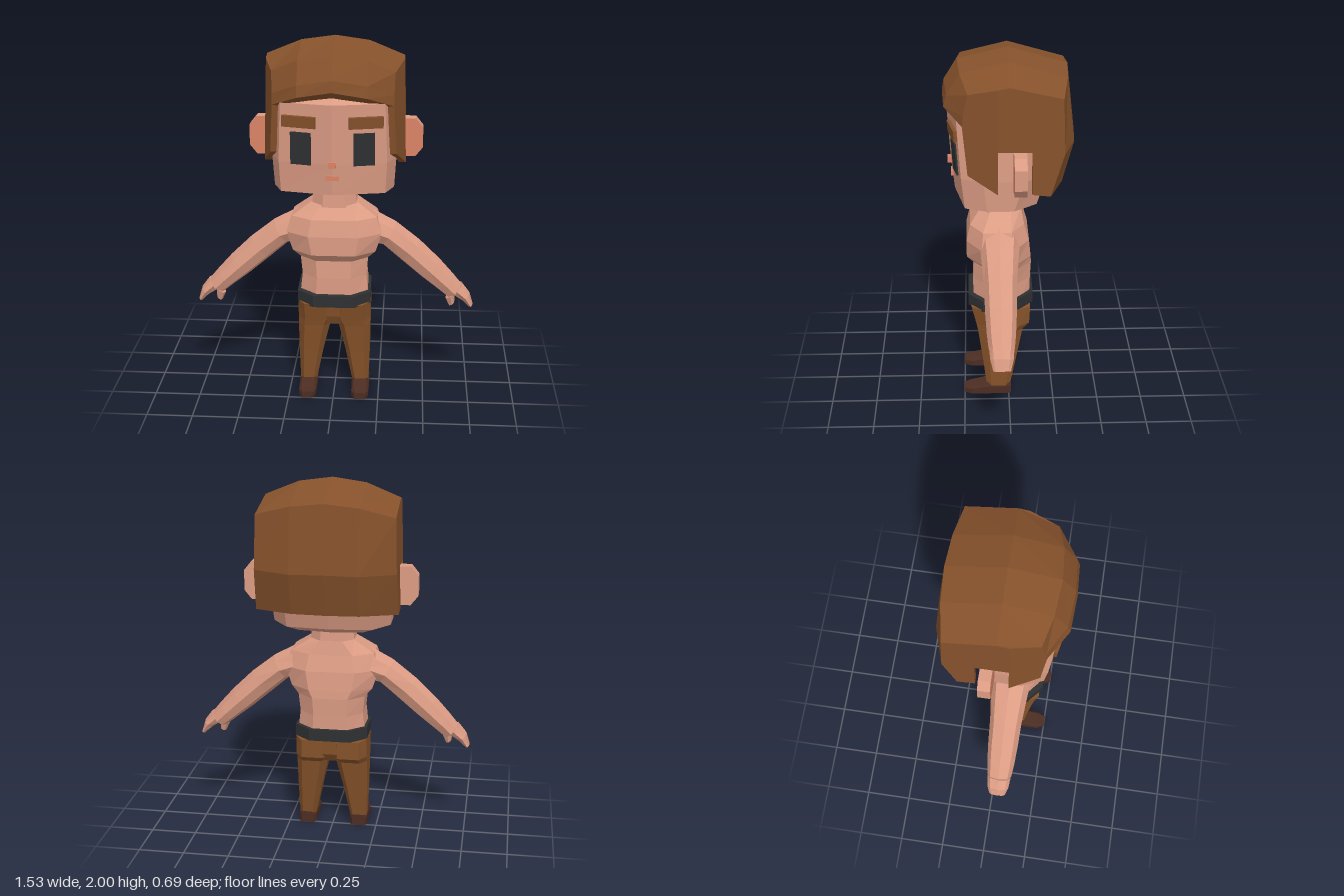
import * as THREE from 'three';

const flat = (name, color) => Object.assign(new THREE.MeshStandardMaterial({ color, flatShading: true }), { name });

// turn all triangles outward, judged by the signed volume around the middle
function orient(geo) {
  const p = geo.attributes.position;
  geo.computeBoundingBox();
  const mid = geo.boundingBox.getCenter(new THREE.Vector3());
  const v = [0, 1, 2].map(() => new THREE.Vector3());
  let volume = 0;
  for (let i = 0; i < p.count; i += 3) {
    v.forEach((q, k) => q.fromBufferAttribute(p, i + k).sub(mid));
    volume += v[0].dot(v[1].clone().cross(v[2]));
  }
  if (volume < 0) {
    for (let i = 0; i < p.count; i += 3) {
      const b = [p.getX(i + 1), p.getY(i + 1), p.getZ(i + 1)];
      p.setXYZ(i + 1, p.getX(i + 2), p.getY(i + 2), p.getZ(i + 2));
      p.setXYZ(i + 2, ...b);
    }
  }
  geo.computeVertexNormals();
  return geo;
}

// join cross-sections into a faceted skin; closed rings get end caps
function loft(rings, closed = true) {
  const pos = [];
  const n = rings[0].length;
  for (let i = 0; i < rings.length - 1; i++) {
    for (let j = 0; j < (closed ? n : n - 1); j++) {
      const k = (j + 1) % n;
      const [a, b, c, d] = [rings[i][j], rings[i][k], rings[i + 1][k], rings[i + 1][j]];
      pos.push(...a, ...b, ...c, ...a, ...c, ...d);
    }
  }
  if (closed) {
    const first = rings[0], last = rings[rings.length - 1];
    for (let j = 1; j < n - 1; j++) {
      pos.push(...first[0], ...first[j + 1], ...first[j]);
      pos.push(...last[0], ...last[j], ...last[j + 1]);
    }
  }
  const geo = new THREE.BufferGeometry();
  geo.setAttribute('position', new THREE.Float32BufferAttribute(pos, 3));
  return orient(geo);
}

// level eight-sided section with cut corners; tilt raises the back
function ring(y, x0, x1, z0, z1, cut = 0.25, tilt = 0) {
  const cx = (x1 - x0) * cut, cz = (z1 - z0) * cut;
  return [[x0 + cx, z1], [x1 - cx, z1], [x1, z1 - cz], [x1, z0 + cz],
    [x1 - cx, z0], [x0 + cx, z0], [x0, z0 + cz], [x0, z1 - cz]]
    .map(([x, z]) => [x, y + (z < (z0 + z1) / 2 ? tilt : 0), z]);
}

// section across a limb that points down and outward at the given slope
function limbRing(s, x, y, slope, r, rz, zc = 0.05) {
  return Array.from({ length: 8 }, (_, i) => {
    const a = i * Math.PI / 4, h = r * Math.cos(a);
    return [s * (x + h * Math.sin(slope)), y + h * Math.cos(slope), zc + rz * Math.sin(a)];
  });
}

// head section: gently folded face, wide sides, narrower back
function headRing(y, front, w, back) {
  const half = [[w * 0.86, front - 0.055], [w, front - 0.17], [w, back + 0.14], [w * 0.72, back + 0.02]];
  return [[0, front], ...half, [0, back], ...half.map(([x, z]) => [-x, z]).reverse()]
    .map(([x, z]) => [x, y, z]);
}

// half-width of the hair at a given height and depth
const hairX = (z, y) => 0.38 - 0.3 * Math.max(0, z - 0.06) - 0.03 * (y - 1.33);

function hairPanel(s, outline) {
  const shape = new THREE.Shape(outline.map(([z, y]) => new THREE.Vector2(z, y)));
  const raw = new THREE.ExtrudeGeometry(shape, { depth: 0.035, bevelEnabled: false });
  const geo = raw.index ? raw.toNonIndexed() : raw;
  geo.clearGroups();
  const p = geo.attributes.position;
  for (let i = 0; i < p.count; i++) {
    const z = p.getX(i), y = p.getY(i), depth = p.getZ(i);
    p.setXYZ(i, s * (hairX(z, y) - depth), y, z);
  }
  return orient(geo);
}

export function createModel() {
  const model = new THREE.Group();
  const skin = flat('skin', 0xdc9c84);
  const blush = flat('blush skin', 0xdb8466);
  const hair = flat('hair brown', 0x85512b);
  const cloth = flat('trouser brown', 0x87532a);
  const leather = flat('shoe brown', 0x4c2d22);
  const dark = flat('charcoal', 0x2e3032);
  const add = (name, geo, mat, parent = model) => {
    const mesh = new THREE.Mesh(geo, mat);
    mesh.name = name;
    parent.add(mesh);
    return mesh;
  };

  // head and neck
  add('head', loft([
    headRing(1.175, 0.17, 0.24, -0.1), headRing(1.21, 0.287, 0.32, -0.165),
    headRing(1.38, 0.305, 0.33, -0.22), headRing(1.7, 0.325, 0.315, -0.25),
    headRing(1.83, 0.2, 0.28, -0.24)]), skin);
  add('neck', loft([ring(1.08, -0.125, 0.125, -0.07, 0.165), ring(1.2, -0.11, 0.11, -0.06, 0.155)]), skin);

  // torso, with a ledge under the chest
  add('torso', loft([
    [0.56, 0.19, -0.115, 0.195], [0.7, 0.175, -0.12, 0.195], [0.8, 0.185, -0.125, 0.19],
    [0.845, 0.225, -0.122, 0.228], [0.95, 0.26, -0.11, 0.228], [1.04, 0.23, -0.085, 0.208],
    [1.115, 0.12, -0.07, 0.15]].map(([y, w, b, f]) => ring(y, -w, w, b, f, 0.24))), skin);
  add('belt', loft([ring(0.54, -0.2, 0.2, -0.135, 0.222, 0.22, 0.015),
    ring(0.607, -0.2, 0.2, -0.135, 0.222, 0.22, 0.015)]), dark);
  add('hips', loft([ring(0.42, -0.1, 0.1, -0.08, 0.16), ring(0.47, -0.19, 0.19, -0.115, 0.185, 0.2),
    ring(0.56, -0.195, 0.195, -0.12, 0.2, 0.2)]), cloth);

  // hair cap: front-to-back strips, from under the fringe to the nape
  const middle = [[1.72, 0.28], [1.77, 0.345], [1.83, 0.335], [1.94, 0.265], [2, 0],
    [1.91, -0.31], [1.55, -0.35], [1.32, -0.29], [1.34, -0.17]].map(([y, z]) => [0, y, z]);
  const inner = [[1.69, 0.26], [1.74, 0.335], [1.8, 0.32], [1.915, 0.25], [1.975, 0],
    [1.89, -0.3], [1.545, -0.34], [1.32, -0.28], [1.34, -0.16]].map(([y, z]) => [0.18, y, z]);
  const outer = [[1.64, 0.2], [1.68, 0.24], [1.74, 0.235], [1.85, 0.21], [1.9, 0],
    [1.84, -0.27], [1.55, -0.28], [1.32, -0.21], [1.34, -0.14]].map(([y, z]) => [hairX(z, y), y, z]);
  outer[0][0] = 0.29;
  outer[8][0] = 0.3;
  const flip = (row) => row.map(([x, y, z]) => [-x, y, z]);
  add('hairCap', loft([flip(outer), flip(inner), middle, inner, outer], false), hair);

  for (const s of [1, -1]) {
    const side = new THREE.Group();
    side.name = s > 0 ? 'leftSide' : 'rightSide';
    model.add(side);

    // side hair, cut out around the ear
    add('sideburn', hairPanel(s, [[0.06, 1.33], [0.215, 1.42], [0.24, 1.68], [0.235, 1.74],
      [0.21, 1.85], [0.06, 1.886]]), hair, side);
    add('sideHair', hairPanel(s, [[0.06, 1.56], [0.06, 1.886], [0, 1.9], [-0.27, 1.84],
      [-0.28, 1.55], [-0.21, 1.32], [-0.115, 1.33], [-0.115, 1.56]]), hair, side);

    // ear plate with a blush front face
    const earShape = new THREE.Shape([[0.3, 1.34], [0.43, 1.34], [0.47, 1.39], [0.47, 1.5],
      [0.43, 1.55], [0.3, 1.55]].map(([x, y]) => new THREE.Vector2(s * x, y)));
    add('ear', new THREE.ExtrudeGeometry(earShape, { depth: 0.065, bevelEnabled: false }), skin, side)
      .position.z = -0.087;
    add('earFront', new THREE.ShapeGeometry(earShape), blush, side).position.z = -0.02;

    // eye and eyebrow lie on the folded face
    const eye = add('eye', new THREE.BoxGeometry(0.11, 0.175, 0.009), dark, side);
    eye.position.set(s * 0.165, 1.46, 0.283);
    eye.rotation.set(0.06, s * 0.2, 0);
    const brow = add('eyebrow', new THREE.BoxGeometry(0.18, 0.06, 0.025), hair, side);
    brow.position.set(s * 0.173, 1.605, 0.29);
    brow.rotation.set(0.06, s * 0.2, 0);

    // arm, fingers and thumb
    add('arm', loft([
      limbRing(s, 0.14, 0.98, 0.45, 0.1, 0.115), limbRing(s, 0.295, 0.925, 0.55, 0.075, 0.1),
      limbRing(s, 0.41, 0.83, 0.75, 0.078, 0.088), limbRing(s, 0.525, 0.725, 0.78, 0.073, 0.083),
      limbRing(s, 0.61, 0.645, 0.78, 0.062, 0.076), limbRing(s, 0.665, 0.59, 0.78, 0.054, 0.068)]), skin, side);
    add('fingers', loft([
      limbRing(s, 0.675, 0.605, 0.78, 0.043, 0.066), limbRing(s, 0.725, 0.56, 0.85, 0.03, 0.06),
      limbRing(s, 0.755, 0.51, 1.1, 0.013, 0.045)]), skin, side);
    add('thumb', loft([
      limbRing(s, 0.64, 0.575, 0.9, 0.034, 0.045, 0.07),
      limbRing(s, 0.648, 0.52, 1.1, 0.018, 0.03, 0.07)]), skin, side);

    // tapering trouser leg and shoe
    const mirror = (rings) => rings.map((r) => r.map(([x, y, z]) => [s * x, y, z]));
    add('trouserLeg', loft(mirror([
      ring(0.05, 0.1, 0.192, -0.008, 0.125, 0.2), ring(0.24, 0.062, 0.197, -0.045, 0.148, 0.2),
      ring(0.41, 0.022, 0.199, -0.078, 0.172, 0.2), ring(0.445, 0.002, 0.199, -0.115, 0.18, 0.2),
      ring(0.55, 0, 0.199, -0.12, 0.205, 0.2)])), cloth, side);
    const shoe = [[-0.012, 0.035, 0.065], [0.01, 0.048, 0.065], [0.125, 0.049, 0.064],
      [0.21, 0.047, 0.045], [0.252, 0.028, 0.038]];
    add('shoe', loft(mirror(shoe.map(([z, w, h]) => [
      [0.147 - w, 0, z], [0.147 + w, 0, z], [0.147 + w, h * 0.7, z],
      [0.147 + w * 0.75, h, z], [0.147 - w * 0.75, h, z], [0.147 - w, h * 0.7, z]]))), leather, side);
  }

  // nose and mouth
  add('nose', new THREE.BoxGeometry(0.038, 0.032, 0.03), blush).position.set(0, 1.38, 0.308);
  add('mouth', new THREE.BoxGeometry(0.07, 0.026, 0.024), blush).position.set(0, 1.307, 0.294);
  return model;
}
